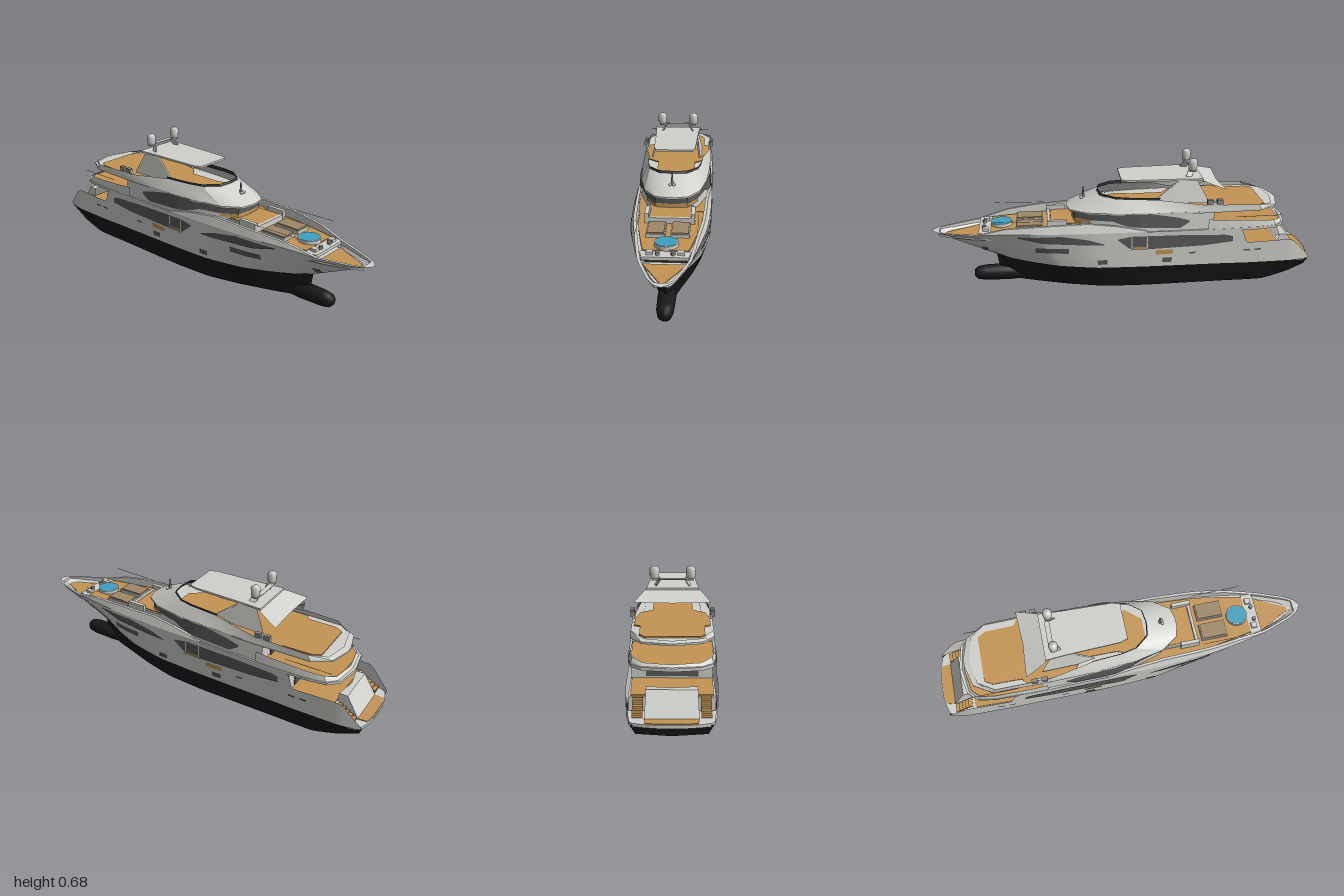
import * as THREE from 'three';
import { toCreasedNormals } from 'three/addons/utils/BufferGeometryUtils.js';

const mat = (name, color) => new THREE.MeshStandardMaterial({ name, color, side: THREE.DoubleSide });
const white = mat('white paint', 0xd0d0cc), black = mat('black hull', 0x191919), teak = mat('teak', 0xc49555);
const glass = mat('dark glass', 0x5a5a5c), screen = mat('windscreen', 0x343436), pool = mat('pool water', 0x3fa0c0);
const cushion = mat('cushion', 0x9f8768), steel = mat('steel', 0x8c8c8c);

export function createModel() {
  const root = new THREE.Group();
  const add = (name, geo, m, x = 0, y = 0, z = 0) => {
    const mesh = new THREE.Mesh(geo, m);
    mesh.name = name;
    mesh.position.set(x, y, z);
    root.add(mesh);
    return mesh;
  };
  const box = (name, m, w, h, d, x, y, z) => add(name, new THREE.BoxGeometry(w, h, d), m, x, y, z);

  // Surface through rows of [x, y, z] points
  const loft = (name, m, rows) => {
    const n = rows[0].length, idx = [];
    for (let i = 0; i < rows.length - 1; i++) for (let j = 0; j < n - 1; j++) {
      const a = i * n + j, b = a + n;
      idx.push(a, b, a + 1, a + 1, b, b + 1);
    }
    const g = new THREE.BufferGeometry();
    g.setAttribute('position', new THREE.Float32BufferAttribute(rows.flat(2), 3));
    g.setIndex(idx);
    return add(name, toCreasedNormals(g, 0.5), m);
  };
  // Half outline of [z, x, y] points mirrored into a full ring
  const ring = (half, y) => {
    const p = half.map(([z, x, py]) => [x, py ?? y, z]);
    return [...p, ...p.slice().reverse().map(([x, py, z]) => [-x, py, z])];
  };
  // Flat deck from a half outline of [z, x]
  const slab = (name, m, half, y, h) => {
    const pts = ring(half, 0).map(([x, , z]) => new THREE.Vector2(x, -z));
    const g = new THREE.ExtrudeGeometry(new THREE.Shape(pts), { depth: h, bevelEnabled: false });
    return add(name, g.rotateX(-Math.PI / 2), m, 0, y, 0);
  };
  const interp = (pts, z) => {
    for (let i = 0; i < pts.length - 1; i++) {
      const [a, va] = pts[i], [b, vb] = pts[i + 1];
      if ((z - a) * (z - b) <= 0) return va + (vb - va) * (a === b ? 0 : (z - a) / (b - a));
    }
    return Math.abs(z - pts[0][0]) < Math.abs(z - pts[pts.length - 1][0]) ? pts[0][1] : pts[pts.length - 1][1];
  };

  // Hull lines from stern to bow, each point [x, y, z]
  const line = (pts) => new THREE.CatmullRomCurve3(pts.map((p) => new THREE.Vector3(...p)), false, 'catmullrom', .2)
    .getPoints(66).map((v) => v.toArray());
  const sheer = line([[.175, .14, -.98], [.195, .25, -.87], [.2, .25, -.63], [.2, .325, -.585], [.2, .335, -.1], [.198, .338, .2],
    [.183, .34, .45], [.155, .337, .62], [.117, .324, .78], [.067, .318, .92], [.035, .317, .975], [0, .317, 1]]);
  const water = line([[.175, .13, -.978], [.195, .13, -.87], [.2, .132, -.63], [.2, .135, -.5], [.2, .14, -.1], [.19, .142, .15],
    [.155, .148, .35], [.1, .155, .5], [.05, .16, .6], [.02, .165, .65], [.008, .165, .67], [0, .165, .675]]);
  const chine = line([[.15, .085, -.965], [.16, .05, -.87], [.165, .015, -.73], [.165, .015, -.5], [.165, .015, -.1], [.15, .015, .12],
    [.11, .018, .3], [.065, .022, .45], [.04, .03, .55], [.02, .05, .62], [.01, .07, .65], [0, .09, .665]]);
  const keel = line([[0, .075, -.965], [0, .04, -.87], [0, .003, -.75], [0, 0, -.5], [0, 0, -.1], [0, 0, .12],
    [0, .002, .3], [0, .005, .45], [0, .01, .56], [0, .02, .64], [0, .025, .655], [0, .03, .665]]);
  const flip = (rows) => rows.map((r) => r.map(([x, y, z]) => [-x, y, z]));
  const pair = (name, m, rows) => { loft(name + 'Left', m, rows); loft(name + 'Right', m, flip(rows)); };
  const bottom = water.map((w, i) => [w, chine[i], keel[i]]);
  pair('topsides', white, sheer.map((s, i) => [s, water[i]]));
  pair('bottom', black, bottom);
  loft('transomBase', black, [bottom[0], ...flip([bottom[0]])]);
  // Bulwark leaning inward above the sheer
  const rise = [[-.12, 0], [.05, .03], [.2, .047], [.45, .036], [.62, .024], [.76, 0], [1, 0]];
  pair('bulwark', white, sheer.filter((s) => s[2] > -.12).map(([x, y, z]) => {
    const h = interp(rise, z), outer = x - h * .35, inner = Math.max(outer - .014, 0), zi = Math.min(z, .96);
    return [[x, y, z], [outer, y + h, z], [inner, y + h, zi], [inner, .295, zi]];
  }));
  const nose = [[0, .8], [.02, .797], [.034, .782], [.041, .74], [.044, .62], [.036, .45], [0, .4]];
  add('bulbousBow', new THREE.LatheGeometry(nose.map((p) => new THREE.Vector2(...p)), 24).rotateX(Math.PI / 2), black, 0, .058, 0);
  const hullX = (z, y) => interp(sheer.map((s, i) => {
    const w = water[i], f = (y - w[1]) / (s[1] - w[1]);
    return [w[2] + (s[2] - w[2]) * f, w[0] + (s[0] - w[0]) * f];
  }), z);

  // Thin panels following a side surface, between two [z, y] lines
  const panel = (name, m, top, low, fx = hullX, off = .005) => {
    const z0 = top[0][0], z1 = top[top.length - 1][0], rows = [];
    for (let i = 0; i <= 30; i++) {
      const z = z0 + (z1 - z0) * i / 30, a = interp(top, z), b = interp(low, z);
      rows.push([0, 1, 2, 3].map((k) => { const y = a + (b - a) * k / 3; return [fx(z, y) + off, y, z]; }));
    }
    pair(name, m, rows);
  };
  const rect = (name, m, z0, z1, y0, y1, off) => panel(name, m, [[z0, y1], [z1, y1]], [[z0, y0], [z1, y0]], hullX, off);
  panel('forwardHullWindow', glass, [[.56, .324], [.34, .328], [.2, .305], [.12, .278]], [[.56, .318], [.44, .288], [.2, .275], [.12, .274]]);
  rect('forwardGrille', glass, .47, .3, .228, .258);
  panel('aftHullWindow', glass, [[.05, .302], [-.02, .315], [-.3, .31], [-.52, .3], [-.55, .29]], [[.05, .297], [0, .255], [-.02, .24], [-.1, .24], [-.4, .247], [-.55, .262]]);
  rect('balconyStep', teak, -.03, -.09, .243, .256, .008);
  rect('balconyFloor', teak, -.145, -.235, .208, .232, .005);
  for (const z of [-.018, -.097]) rect('balconyFrame', white, z, z - .006, .238, .315, .008);
  rect('anchorPocket', glass, .745, .715, .2, .24);
  for (const z of [.155, -.18]) rect('porthole', glass, z, z - .05, .162, .188);
  for (const z of [-.32, -.61, -.67]) rect('sideVent', glass, z, z - .035, .204, .213);

  // Foredeck, pool and lounge
  const deckEdge = (z0, z1, inset, y, n = 12) => Array.from({ length: n + 1 }, (_, i) => {
    const z = z0 + (z1 - z0) * i / n;
    return [z, Math.max(hullX(z, y) - inset, .004)];
  });
  slab('anchorDeckBase', white, deckEdge(.95, .73, .004, .29), .29, .004);
  slab('anchorDeck', teak, [[.93, .01], [.82, .066], [.755, .1]], .294, .004);
  slab('foredeckBase', white, deckEdge(.75, .2, .004, .31), .31, .014);
  slab('foredeckTeak', teak, deckEdge(.695, .2, .034, .33), .324, .012);
  slab('foredeckCoaming', white, deckEdge(.755, .695, .012, .315), .315, .016);
  const cyl = (r, h, n = 24) => new THREE.CylinderGeometry(r, r, h, n);
  add('poolRim', cyl(.056, .022), white, 0, .342, .64);
  add('poolWater', cyl(.052, .004), pool, 0, .352, .64);
  slab('loungeBase', white, [[.385, .108], [.2, .108]], .33, .028);
  slab('loungeTeak', teak, [[.385, .1], [.2, .1]], .358, .005);
  box('sofaBack', white, .23, .032, .016, 0, .349, .395);
  for (const s of [-1, 1]) {
    box('sofaArm', white, .02, .052, .1, s * .112, .36, .355);
    box('sunpadBase', white, .09, .018, .14, s * .057, .343, .495);
    box('sunpad', cushion, .08, .008, .13, s * .057, .355, .495);
    add('windlass', cyl(.01, .022, 12), steel, s * .035, .335, .73);
    box('mooringBox', white, .03, .016, .03, s * .07, .337, .72);
    add('awningPole', new THREE.CylinderGeometry(.0012, .0012, .26, 6).rotateX(Math.PI / 2 - .03), steel, s * .14, .397, .55);
  }

  // Main deck aft, transom, stairs and swim platform
  slab('swimPlatform', white, [[-.8, .19], [-.87, .19], [-.95, .18], [-.975, .165], [-.99, .12], [-1, .06]], .122, .014);
  slab('swimPlatformTeak', teak, [[-.93, .115], [-.985, .11], [-.995, .06]], .136, .004);
  slab('aftDeckBase', white, [[-.55, .19], [-.84, .188]], .14, .06);
  slab('aftDeckTeak', teak, [[-.58, .185], [-.825, .178]], .2, .006);
  slab('mainSaloon', white, [[.1, .185], [-.6, .186]], .2, .122);
  box('saloonDoors', glass, .24, .09, .006, 0, .26, -.602);
  loft('transomPanel', white, [ring([[-.83, .115], [-.94, .115]], .138), ring([[-.83, .11], [-.875, .11]], .245), ring([[-.85, 0], [-.86, 0]], .245)]);
  for (const s of [-1, 1]) for (let i = 0; i < 5; i++)
    box('sternStep', teak, .045, .012, .022, s * .145, .15 + i * .012, -.925 + i * .019);

  // Upper deck with overhanging aft bulwark
  const over = [[-.42, .2], [-.5, .2], [-.7, .195], [-.79, .18], [-.84, .13], [-.86, 0]];
  slab('upperDeckBase', white, [[.25, .185], [0, .195], ...over.slice(0, 5), [-.86, .02]], .318, .014);
  slab('upperDeckTeak', teak, [[.25, .168], [0, .178], [-.5, .186], [-.7, .182], [-.78, .165], [-.825, .11]], .332, .005);
  loft('upperBulwark', white, [ring(over, .32),
    ring([[-.42, .193, .385], [-.5, .193, .377], [-.7, .187, .365], [-.77, .172, .358], [-.815, .125, .345], [-.835, 0, .342]])]);
  for (const s of [-1, 1])
    add('upperRail', new THREE.CylinderGeometry(.0015, .0015, .24, 6).rotateX(Math.PI / 2), steel, s * .178, .386, -.69);

  // Upper house with wraparound windows
  const house = [[.27, 0], [.26, .08], [.18, .13], [.05, .168], [-.06, .19], [-.45, .19], [-.46, 0]];
  const shrink = (o, k) => o.map(([z, x]) => [z, x * k]);
  loft('upperHouse', white, [ring(house, .33), ring(shrink(house, .95), .43)]);
  const mirrorRow = (h) => [...flip([h])[0].reverse(), ...h];
  const band = (y, k, n) => mirrorRow(shrink(house.slice(0, n), k).map(([z, x]) => [x && x + .003, y, z + .004]));
  loft('wheelhouseWindow', glass, [band(.385, .98, 4), band(.428, .955, 4)]);
  loft('wheelhouseTrim', teak, [band(.367, .985, 3), band(.384, .98, 3)]);
  const houseX = (z, y) => interp(house, z) * (1 - .05 * (y - .33) / .1);
  panel('upperWindow', glass, [[.12, .427], [-.12, .427], [-.26, .402], [-.32, .385]], [[.12, .4], [0, .362], [-.08, .355], [-.27, .345], [-.32, .375]], houseX);
  box('upperAftDoors', glass, .24, .07, .006, 0, .378, -.464);

  // Flybridge body, deck and windscreen
  const flyLow = [[.3, 0], [.285, .08], [.2, .14], [.05, .17], [-.15, .184], [-.4, .19], [-.7, .185], [-.79, .13], [-.82, 0]];
  const flyTop = [[.14, 0, .497], [.13, .07, .496], [.06, .125, .493], [-.02, .14, .49], [-.17, .148, .485], [-.4, .185, .463],
    [-.68, .182, .452], [-.765, .125, .437], [-.79, 0, .433]];
  loft('flybridgeBody', white, [ring(flyLow, .428), ring(flyTop)]);
  slab('flybridgeFloor', white, flyLow.map(([z, x]) => [z, x || .02]), .42, .009);
  slab('flybridgeTeak', teak, [[.125, .05], [.05, .115], [0, .115], [-.04, .1], [-.22, .1], [-.27, .16], [-.4, .178], [-.52, .176], [-.54, .148], [-.69, .145], [-.73, .12]], .43, .006);
  const glassRow = (dy) => mirrorRow(flyTop.slice(0, 5).map(([z, x, y]) => [x, y + dy, z - dy * .5]));
  loft('flybridgeWindscreen', screen, [glassRow(-.008), glassRow(.012)]);
  add('hornPost', new THREE.CylinderGeometry(.003, .007, .06, 10), steel, 0, .495, .21);
  for (const s of [-1, 1]) add('horn', new THREE.SphereGeometry(.008, 10, 8), white, s * .009, .468, .222);

  // Hardtop with sloping aft wing
  slab('hardtop', white, [[.02, .095], [-.02, .108], [-.3, .118], [-.4, .125]], .574, .01);
  const edge = [[.122, .58, -.38], [.15, .56, -.44], [.178, .538, -.51]];
  loft('hardtopWing', white, [edge, [[0, .58, -.38], [0, .556, -.44], [0, .532, -.5]], flip([edge])[0]]);

  // Radar arch, mast and domes
  panel('archLeg', white, [[-.16, .487], [-.28, .578], [-.37, .578], [-.43, .46]], [[-.16, .483], [-.25, .46], [-.43, .455]],
    (z, y) => .137 - (y - .46) * .22, 0);
  const dome = [[0, 0], [.014, 0], [.022, .008], [.024, .048], [.012, .059], [0, .061]].map((p) => new THREE.Vector2(...p));
  for (const s of [-1, 1]) {
    const rib = new THREE.LineCurve3(new THREE.Vector3(s * .128, .483, -.16), new THREE.Vector3(s * .108, .578, -.285));
    add('archEdge', new THREE.TubeGeometry(rib, 1, .005, 6), white);
    const fin = box('mastLeg', white, .005, .05, .03, s * .073, .6, -.34);
    fin.rotation.set(-.5, 0, s * .5);
    box('domeFoot', white, .034, .005, .034, s * .084, .617, -.35);
    add('satelliteDome', new THREE.LatheGeometry(dome, 12), white, s * .087, .62, -.35);
    // Side lamps
    for (const z of [-.425, -.475]) box('sideLamp', steel, .02, .024, .03, s * .187, .48, z);
    box('lampBracket', white, .012, .02, .08, s * .18, .466, -.45);
  }
  box('mastBar', white, .125, .004, .025, 0, .619, -.36);
  return root;
}
